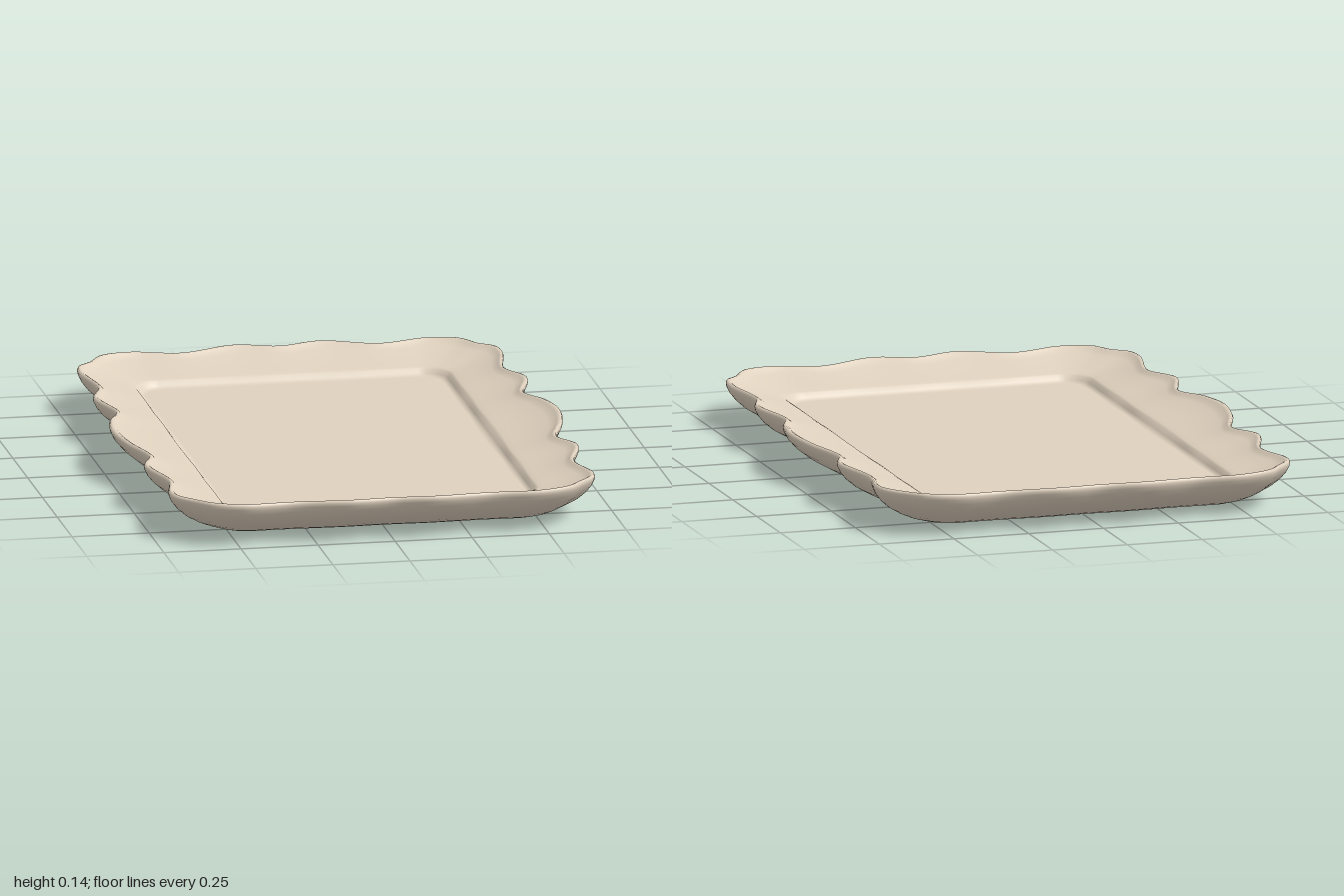
import * as THREE from 'three';

// One quarter of the scalloped rim, from the middle of the left side to the middle of the front
const QUARTER = [
  [0.727, 0], [0.708, 0.14], [0.663, 0.28], [0.704, 0.43], [0.66, 0.59], [0.688, 0.76],
  [0.678, 0.83], [0.63, 0.885], [0.58, 0.95], [0.48, 0.98], [0.32, 0.957], [0.14, 0.998], [0, 0.974],
];
const CORE = [0.42, 0.71]; // centres of the floor's rounded corners
const RADIUS = 0.08;
const STEPS = 360;

// Cross-sections [t, y]: t = 0 at the floor edge, 1 at the rim, 'c' at the centre
const PARTS = {
  underside: [['c', 0], [-0.12, 0], [0, 0.002], [0.15, 0.008], [0.35, 0.02], [0.55, 0.037],
    [0.72, 0.056], [0.86, 0.079], [0.95, 0.101]],
  rim: [[0.99, 0.118], [1, 0.128], [0.985, 0.135], [0.95, 0.137], [0.91, 0.133], [0.87, 0.126]],
  slopingWall: [[0.78, 0.118], [0.55, 0.105], [0.35, 0.096], [0.2, 0.09], [0.1, 0.086], [0.05, 0.082]],
  floor: [[0, 0.07], [-0.04, 0.063], [-0.1, 0.061], ['c', 0.061]],
};

// Mirror the quarter into a closed smooth outline
function rimOutline() {
  const q = QUARTER, back = [...q].reverse();
  const pts = [
    ...q,
    ...back.slice(1).map(([x, z]) => [-x, z]),
    ...q.slice(1).map(([x, z]) => [-x, -z]),
    ...back.slice(1, -1).map(([x, z]) => [x, -z]),
  ].map(([x, z]) => new THREE.Vector3(x, 0, z));
  return new THREE.CatmullRomCurve3(pts, true, 'centripetal').getSpacedPoints(STEPS).slice(0, STEPS);
}

export function createModel() {
  const group = new THREE.Group();
  group.name = 'scallopedTray';
  const clay = new THREE.MeshStandardMaterial({ color: 0xdfd1be });
  clay.name = 'warm beige';

  // Each rim point is paired with the nearest point of the rounded floor edge
  const spokes = rimOutline().map((rim) => {
    const core = new THREE.Vector3(
      THREE.MathUtils.clamp(rim.x, -CORE[0], CORE[0]), 0,
      THREE.MathUtils.clamp(rim.z, -CORE[1], CORE[1]));
    const edge = rim.clone().sub(core).setLength(RADIUS).add(core);
    return { rim, edge, width: rim.distanceTo(edge) };
  });

  const sections = Object.values(PARTS).flat();
  const positions = [];
  for (const [t, y] of sections) {
    for (const { rim, edge, width } of spokes) {
      const p = t === 'c' ? new THREE.Vector3() : edge.clone().lerp(rim, t);
      // The rim rises a little on each scallop
      const lift = t === 'c' ? 0 : Math.max(0, t) ** 2 * (width - 0.19) * 0.2;
      positions.push(p.x, y + lift, p.z);
    }
  }

  // Quads between section i and the next
  function band(i) {
    const out = [];
    for (let j = 0; j < STEPS; j++) {
      const k = (j + 1) % STEPS;
      const a = i * STEPS + j, b = i * STEPS + k, c = a + STEPS, d = b + STEPS;
      if (sections[i][0] !== 'c') out.push(a, c, b);
      if (sections[i + 1][0] !== 'c') out.push(b, c, d);
    }
    return out;
  }

  // Smooth normals over the whole shell, shared by its parts
  const shell = new THREE.BufferGeometry();
  shell.setAttribute('position', new THREE.Float32BufferAttribute(positions, 3));
  shell.setIndex(sections.slice(1).flatMap((_, i) => band(i)));
  shell.computeVertexNormals();
  // Centre points are flat
  sections.forEach(([t], i) => {
    if (t !== 'c') return;
    for (let j = 0; j < STEPS; j++) shell.attributes.normal.setXYZ(i * STEPS + j, 0, i ? 1 : -1, 0);
  });

  let start = 0;
  for (const [name, list] of Object.entries(PARTS)) {
    const index = [];
    for (let i = start; i < start + list.length && i < sections.length - 1; i++) index.push(...band(i));
    start += list.length;
    const geo = new THREE.BufferGeometry();
    geo.setAttribute('position', shell.attributes.position);
    geo.setAttribute('normal', shell.attributes.normal);
    geo.setIndex(index);
    const mesh = new THREE.Mesh(geo, clay);
    mesh.name = name;
    group.add(mesh);
  }
  return group;
}
